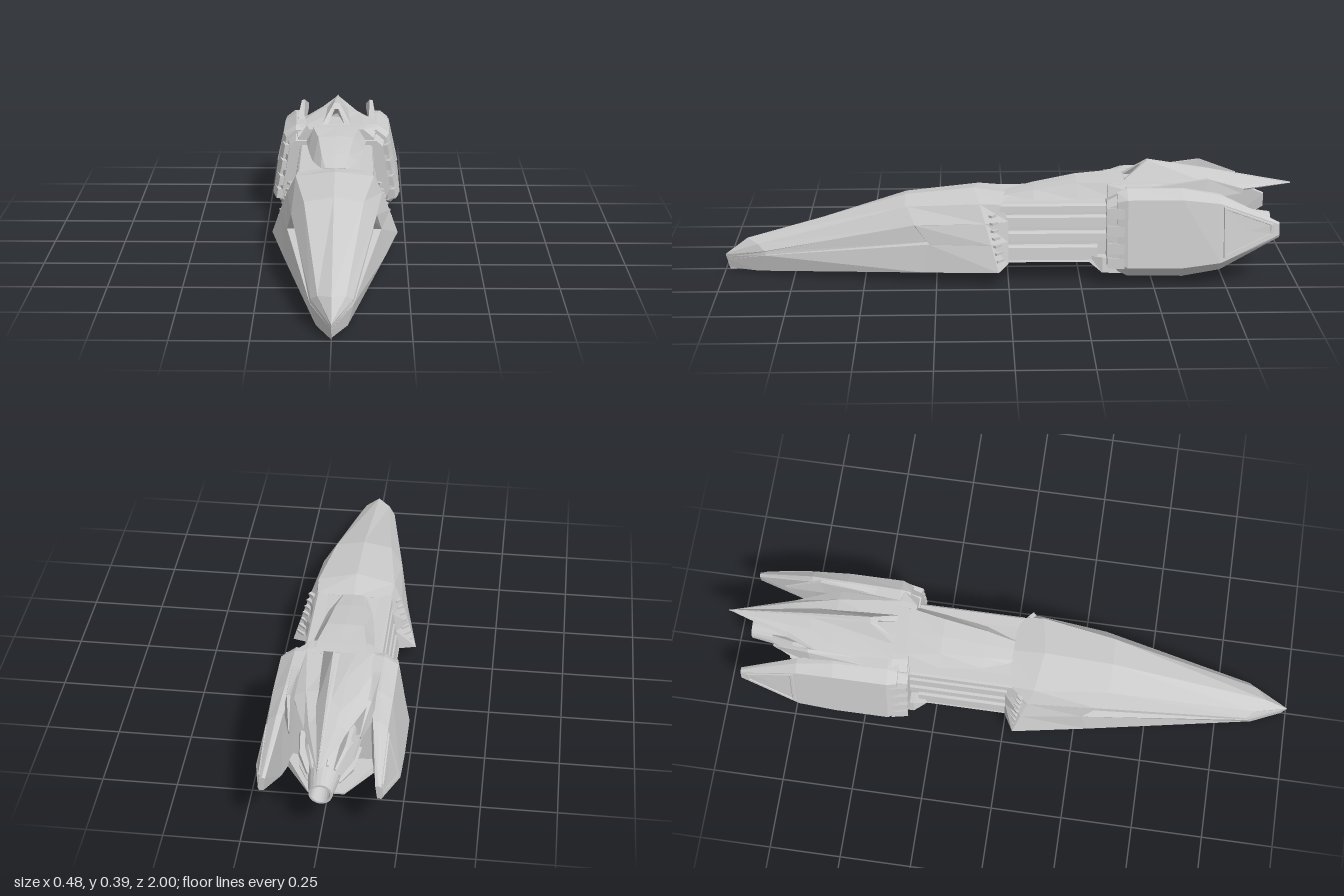
import * as THREE from 'three';

const material = new THREE.MeshStandardMaterial({ color: 0xcccccc, flatShading: true, side: THREE.DoubleSide });

// Closed, flat-faced loft through rings of [x, y, z] points, turned outwards
function loft(name, rings) {
  const tris = [];
  const n = rings[0].length;
  for (let r = 0; r < rings.length - 1; r++) {
    for (let i = 0; i < n; i++) {
      const j = (i + 1) % n;
      const [a, b, c, d] = [rings[r][i], rings[r][j], rings[r + 1][j], rings[r + 1][i]];
      tris.push([a, b, c], [a, c, d]);
    }
  }
  const cap = (ring, flip) => {
    const mid = [0, 1, 2].map(k => ring.reduce((sum, p) => sum + p[k], 0) / n);
    ring.forEach((p, i) => {
      const q = ring[(i + 1) % n];
      tris.push(flip ? [mid, q, p] : [mid, p, q]);
    });
  };
  cap(rings[0], true);
  cap(rings[rings.length - 1], false);
  const V = p => new THREE.Vector3(...p);
  const volume = tris.reduce((sum, [a, b, c]) => sum + V(a).dot(V(b).cross(V(c))), 0);
  if (volume < 0) tris.forEach(t => t.reverse());
  const geometry = new THREE.BufferGeometry();
  geometry.setAttribute('position', new THREE.Float32BufferAttribute(tris.flat(2), 3));
  geometry.computeVertexNormals();
  const mesh = new THREE.Mesh(geometry, material);
  mesh.name = name;
  return mesh;
}

// Full ring from a half profile running from top centre to bottom centre
const mirror = half => [...half, ...half.slice(1, -1).reverse().map(([x, y, z]) => [-x, y, z])];
const at = (z, points) => points.map(([x, y]) => [x, y, z]);
const symmetric = (name, halves) => loft(name, halves.map(mirror));
const flip = (s, rings) => rings.map(ring => ring.map(([x, y, z]) => [s * x, y, z]));

// Long wedge nose; the four middle points of each half form the side groove
function buildNose() {
  return symmetric('noseHull', [
    [[0, 0.055, 1], [0, 0.053, 1], [0, 0.045, 0.998], [0, 0.045, 0.998], [0, 0.035, 0.995], [0, 0.035, 0.995], [0, 0.005, 0.985], [0, 0, 0.985]],
    [[0, 0.115, 0.92], [0.045, 0.105, 0.88], [0.067, 0.085, 0.855], [0.066, 0.083, 0.854], [0.068, 0.072, 0.854], [0.069, 0.07, 0.855], [0.05, 0.008, 0.88], [0, 0.002, 0.9]],
    [[0, 0.272, 0.36], [0.1, 0.255, 0.36], [0.144, 0.2, 0.33], [0.122, 0.196, 0.33], [0.135, 0.137, 0.28], [0.16, 0.135, 0.28], [0.17, 0.037, 0.3], [0, 0.034, 0.3]],
    [[0, 0.273, 0.35], [0.102, 0.256, 0.35], [0.145, 0.201, 0.325], [0.145, 0.2, 0.325], [0.161, 0.136, 0.275], [0.161, 0.135, 0.275], [0.171, 0.037, 0.295], [0, 0.035, 0.295]],
    [[0, 0.294, 0.12], [0.136, 0.273, 0.1], [0.167, 0.21, 0.08], [0.167, 0.209, 0.08], [0.192, 0.14, 0.06], [0.192, 0.139, 0.06], [0.222, 0.05, 0.035], [0, 0.05, 0.035]],
    [[0, 0.276, 0.0], [0.13, 0.268, 0.02], [0.142, 0.21, 0.0], [0.142, 0.209, 0], [0.152, 0.14, 0], [0.152, 0.139, 0], [0.165, 0.065, 0], [0, 0.065, 0]],
  ]);
}

// Recess-like louvres on the slanted rear faces of the nose
function buildVents(s) {
  const group = new THREE.Group();
  group.name = 'noseVents';
  for (let i = 0; i < 7; i++) {
    const y = 0.085 + i * 0.025;
    const x = 0.191 - i * 0.0062;
    const vent = new THREE.Mesh(new THREE.BoxGeometry(0.036 - i * 0.002, 0.008, 0.014), material);
    vent.name = 'ventSlat';
    vent.position.set(s * x, y, 0.031 + i * 0.004);
    vent.rotation.y = s * -0.75;
    group.add(vent);
  }
  return group;
}

// Stacked side rails with dark gaps between them
function buildRails(s) {
  const group = new THREE.Group();
  group.name = 'sideRails';
  const face = y => 0.132 + (0.275 - y) * 0.15;
  [[0.27, 0.242, -0.37], [0.23, 0.19, -0.35], [0.175, 0.143, -0.35], [0.126, 0.07, -0.31]].forEach(([top, low, end]) => {
    const section = [[0.08, top], [face(top) - 0.006, top], [face(top - 0.007), top - 0.007], [face(low), low], [0.08, low]];
    group.add(loft('rail', flip(s, [at(0.03, section), at(end, section)])));
  });
  return group;
}

// Engine pod with collar, side panel and inner horn fin
function buildPod(s) {
  const group = new THREE.Group();
  group.name = s > 0 ? 'leftPod' : 'rightPod';
  group.add(loft('podShell', flip(s, [
    at(-0.375, [[0.11, 0.315], [0.15, 0.318], [0.186, 0.29], [0.222, 0.085], [0.198, 0.048], [0.11, 0.045]]),
    at(-0.41, [[0.11, 0.33], [0.15, 0.33], [0.197, 0.3], [0.238, 0.068], [0.206, 0.032], [0.11, 0.032]]),
    at(-0.6, [[0.125, 0.33], [0.155, 0.33], [0.197, 0.3], [0.238, 0.068], [0.206, 0.03], [0.13, 0.03]]),
    at(-0.73, [[0.145, 0.308], [0.165, 0.308], [0.194, 0.285], [0.236, 0.085], [0.206, 0.053], [0.155, 0.055]]),
    at(-0.935, [[0.174, 0.213], [0.184, 0.216], [0.193, 0.21], [0.199, 0.175], [0.194, 0.165], [0.18, 0.165]]),
  ])));
  group.add(loft('podCollar', flip(s, [
    at(-0.34, [[0.1, 0.285], [0.15, 0.285], [0.172, 0.265], [0.2, 0.095], [0.18, 0.06], [0.1, 0.05]]),
    at(-0.378, [[0.1, 0.305], [0.15, 0.305], [0.178, 0.28], [0.212, 0.085], [0.19, 0.05], [0.1, 0.045]]),
  ])));
  // Clamps around the collar
  [0.25, 0.19, 0.13, 0.08].forEach(y => {
    const clamp = new THREE.Mesh(new THREE.BoxGeometry(0.03, 0.035, 0.06), material);
    clamp.name = 'collarClamp';
    clamp.position.set(s * (0.184 + (0.25 - y) * 0.16), y, -0.372);
    clamp.rotation.set(0, s * -0.2, s * 0.17);
    group.add(clamp);
  });
  // Framed panel on the tapering rear flank
  const panel = [[0.195, 0.278, -0.738], [0.1945, 0.212, -0.918], [0.199, 0.178, -0.918], [0.233, 0.1, -0.738]];
  const mid = [0.2054, 0.192, -0.828];
  const shifted = (k, d) => panel.map(p => p.map((v, i) => mid[i] + (v - mid[i]) * k + (i === 0 ? d : 0)));
  group.add(loft('flankPanel', flip(s, [shifted(1, -0.004), shifted(0.95, 0.004), shifted(0.86, 0.004), shifted(0.83, 0.001)])));
  group.add(loft('hornFin', flip(s, [
    [[0.11, 0.32, -0.41], [0.14, 0.32, -0.41], [0.145, 0.29, -0.41], [0.11, 0.29, -0.41]],
    [[0.122, 0.332, -0.52], [0.146, 0.333, -0.52], [0.158, 0.29, -0.54], [0.118, 0.28, -0.54]],
    [[0.125, 0.36, -0.69], [0.137, 0.358, -0.69], [0.15, 0.29, -0.68], [0.12, 0.28, -0.68]],
    [[0.112, 0.315, -0.82], [0.114, 0.315, -0.82], [0.116, 0.3, -0.81], [0.112, 0.3, -0.81]],
  ])));
  return group;
}

// Rear thruster: tapered open nozzle with radial vanes around it
function buildThruster() {
  const group = new THREE.Group();
  group.name = 'thruster';
  const profile = [[0.085, 0], [0.085, 0.1], [0.066, 0.14], [0.038, 0.33], [0.031, 0.33], [0.028, 0.25], [0, 0.25]];
  const nozzle = new THREE.Mesh(new THREE.LatheGeometry(profile.map(p => new THREE.Vector2(...p)), 20), material);
  nozzle.name = 'nozzle';
  nozzle.rotation.x = -Math.PI / 2;
  group.add(nozzle);
  for (let i = 0; i < 12; i++) {
    const arm = new THREE.Group();
    arm.name = 'vane';
    arm.rotation.z = (i + 0.5) * Math.PI / 6;
    arm.add(loft('vaneBlade', [
      at(-0.06, [[-0.008, 0.05], [0.008, 0.05], [0.008, 0.105], [-0.008, 0.105]]),
      at(-0.17, [[-0.007, 0.045], [0.007, 0.045], [0.007, 0.092], [-0.007, 0.092]]),
      at(-0.25, [[-0.004, 0.04], [0.004, 0.04], [0.004, 0.056], [-0.004, 0.056]]),
    ]));
    group.add(arm);
  }
  group.position.set(0, 0.16, -0.6);
  return group;
}

export function createModel() {
  const model = new THREE.Group();
  model.name = 'spaceship';
  model.add(buildNose());

  // Inner body between the rails
  const core = [[0, 0.276], [0.118, 0.268], [0.14, 0.08], [0, 0.075]];
  model.add(symmetric('bodyCore', [at(0.03, core), at(-0.4, core), at(-0.62, [[0, 0.3], [0.12, 0.29], [0.13, 0.05], [0, 0.045]])]));

  // Flat belly that steps down under the pods
  model.add(symmetric('belly', [
    at(0.02, [[0, 0.09], [0.155, 0.09], [0.165, 0.07], [0, 0.07]]),
    at(-0.28, [[0, 0.09], [0.155, 0.09], [0.165, 0.07], [0, 0.07]]),
    at(-0.325, [[0, 0.09], [0.18, 0.09], [0.19, 0.038], [0, 0.038]]),
    at(-0.6, [[0, 0.06], [0.17, 0.06], [0.18, 0.03], [0, 0.03]]),
    at(-0.8, [[0, 0.06], [0.06, 0.06], [0.06, 0.054], [0, 0.054]]),
  ]));

  // Canopy hump
  model.add(symmetric('canopy', [
    at(0.01, [[0, 0.278], [0.035, 0.277], [0.05, 0.268], [0, 0.26]]),
    at(-0.09, [[0, 0.302], [0.05, 0.3], [0.08, 0.268], [0, 0.26]]),
    at(-0.24, [[0, 0.328], [0.064, 0.326], [0.1, 0.275], [0, 0.26]]),
    at(-0.36, [[0, 0.331], [0.085, 0.331], [0.112, 0.285], [0, 0.26]]),
    at(-0.42, [[0, 0.331], [0.085, 0.331], [0.115, 0.3], [0, 0.26]]),
  ]));

  // Rear deck that narrows into the tail point
  model.add(symmetric('rearDeck', [
    at(-0.345, [[0, 0.33], [0.1, 0.328], [0.14, 0.295], [0.14, 0.265], [0, 0.26]]),
    at(-0.4, [[0, 0.331], [0.11, 0.331], [0.15, 0.325], [0.15, 0.27], [0, 0.26]]),
    at(-0.62, [[0, 0.335], [0.085, 0.325], [0.128, 0.305], [0.125, 0.285], [0, 0.275]]),
    at(-0.78, [[0, 0.325], [0.055, 0.312], [0.07, 0.297], [0.065, 0.29], [0, 0.285]]),
    at(-0.99, [[0, 0.306], [0.002, 0.305], [0.003, 0.304], [0.002, 0.303], [0, 0.302]]),
  ]));

  // Dorsal fin with a hollow front intake
  model.add(symmetric('dorsalFin', [
    [[0, 0.345, -0.52], [0.004, 0.345, -0.52], [0.028, 0.332, -0.52], [0, 0.332, -0.52]],
    [[0, 0.376, -0.465], [0.007, 0.376, -0.465], [0.03, 0.332, -0.41], [0, 0.332, -0.41]],
    [[0, 0.393, -0.49], [0.011, 0.393, -0.49], [0.056, 0.328, -0.4], [0, 0.32, -0.4]],
    [[0, 0.361, -0.7], [0.008, 0.36, -0.7], [0.045, 0.318, -0.7], [0, 0.31, -0.7]],
    [[0, 0.308, -1], [0.001, 0.307, -1], [0.002, 0.304, -1], [0, 0.303, -1]],
  ]));

  for (const s of [1, -1]) model.add(buildVents(s), buildRails(s), buildPod(s));
  model.add(buildThruster());
  return model;
}
